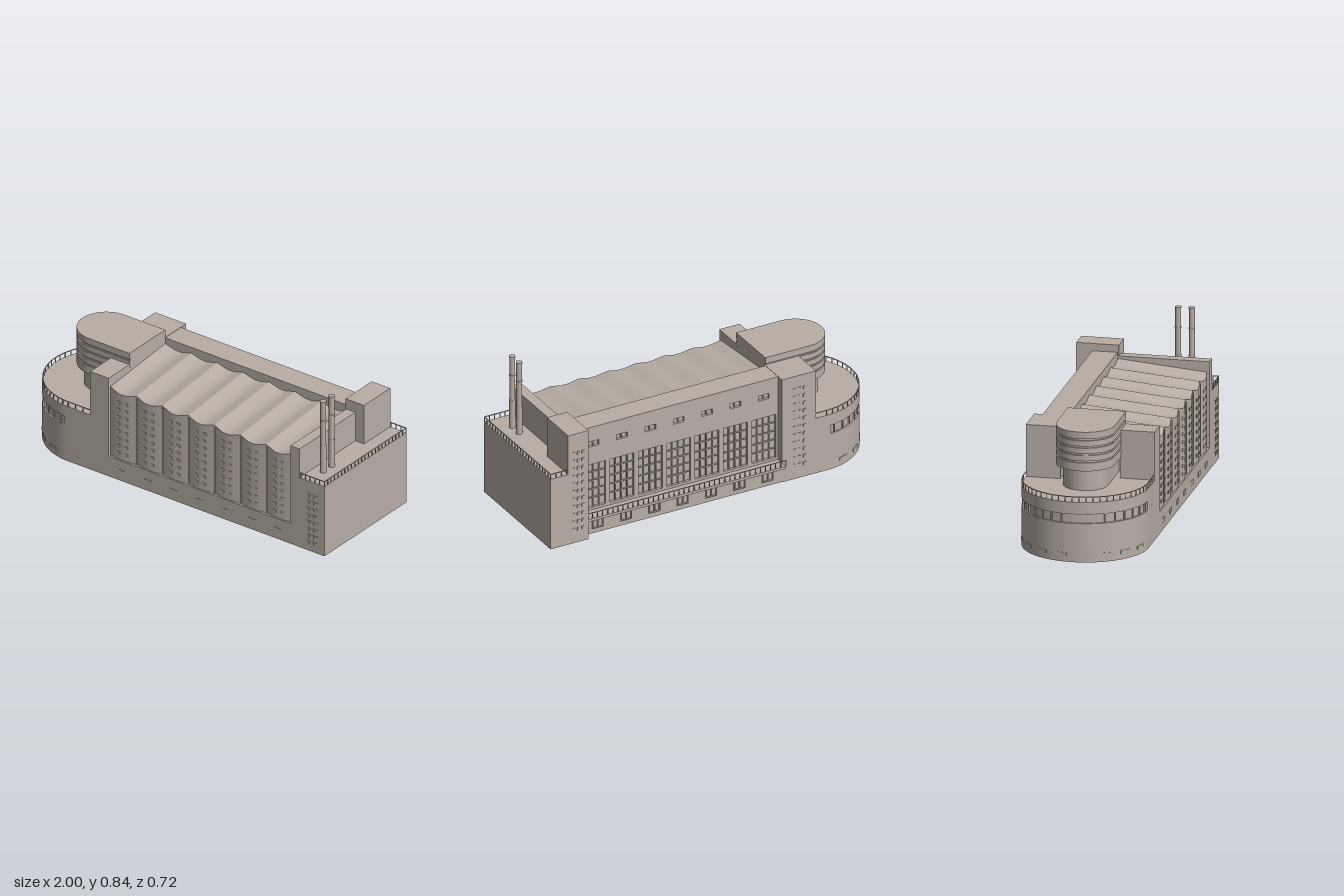
import * as THREE from 'three';
import { mergeGeometries, toCreasedNormals } from 'three/addons/utils/BufferGeometryUtils.js';

const X0 = -0.4, X1 = 0.78, BAYS = 7, BAY = (X1 - X0) / BAYS; // main hall span
const CX = -0.665, CZ = 0.02; // centre of the rounded end

// box geometry given by its limits
function slab(x0, x1, y0, y1, z0, z1) {
  return new THREE.BoxGeometry(x1 - x0, y1 - y0, z1 - z0)
    .translate((x0 + x1) / 2, (y0 + y1) / 2, (z0 + z1) / 2);
}

// block with a half-round end towards -x
function stadium(r, xEnd, y0, y1) {
  const s = new THREE.Shape();
  s.moveTo(xEnd, -r);
  s.lineTo(xEnd, r);
  s.lineTo(CX, r);
  s.absarc(CX, 0, r, Math.PI / 2, Math.PI * 1.5, false);
  s.lineTo(xEnd, -r);
  const g = new THREE.ExtrudeGeometry(s, { depth: y1 - y0, bevelEnabled: false, curveSegments: 40 });
  g.rotateX(-Math.PI / 2).translate(0, y0, CZ);
  return toCreasedNormals(g, 0.5);
}

// rail with posts along a list of points [x, z]
function railing(points, y0, y1, gap, t = 0.004) {
  const parts = [];
  for (let i = 0; i + 1 < points.length; i++) {
    const [ax, az] = points[i], [bx, bz] = points[i + 1];
    const len = Math.hypot(bx - ax, bz - az), n = Math.max(1, Math.round(len / gap));
    const angle = -Math.atan2(bz - az, bx - ax);
    parts.push(new THREE.BoxGeometry(len + t, t, t).rotateY(angle)
      .translate((ax + bx) / 2, y1 - t / 2, (az + bz) / 2));
    for (let k = 0; k <= n; k++) {
      const x = ax + (bx - ax) * k / n, z = az + (bz - az) * k / n;
      parts.push(slab(x - t / 2, x + t / 2, y0, y1 - t, z - t / 2, z + t / 2));
    }
  }
  return mergeGeometries(parts);
}

export function createModel() {
  const model = new THREE.Group();
  model.name = 'powerStation';
  const concrete = new THREE.MeshStandardMaterial({ color: 0xb8aea5 });
  concrete.name = 'concrete';
  const faceted = concrete;
  const add = (name, geometry) => {
    const m = new THREE.Mesh(geometry, faceted);
    m.name = name;
    model.add(m);
    return m;
  };
  const block = (name, ...limits) => add(name, slab(...limits));

  // rounded end with a recessed window band
  add('roundEndLower', stadium(0.334, X0, 0, 0.21));
  add('roundEndBand', stadium(0.324, X0, 0.21, 0.26));
  add('roundEndUpper', stadium(0.334, X0, 0.26, 0.325));
  block('bandInfill', -0.69, X0, 0.21, 0.26, CZ - 0.334, CZ + 0.334);
  const mullions = [], vents = [];
  for (let i = 0; i <= 16; i++) {
    const a = Math.PI * (0.55 + 0.9 * i / 16);
    mullions.push(new THREE.BoxGeometry(0.008, 0.05, 0.006).translate(0.327, 0.235, 0)
      .rotateY(a).translate(CX, 0, CZ));
    if (i % 2) vents.push(new THREE.BoxGeometry(0.006, 0.018, 0.06).translate(0.333, 0.04, 0)
      .rotateY(a).translate(CX, 0, CZ));
  }
  add('bandMullions', mergeGeometries(mullions));
  add('basementVents', mergeGeometries(vents));

  // terrace railing
  const curve = [[-0.52, CZ + 0.331]];
  for (let i = 0; i <= 28; i++) {
    const a = Math.PI * (0.5 + i / 28);
    curve.push([CX + 0.331 * Math.cos(a), CZ + 0.331 * Math.sin(a)]);
  }
  curve.push([-0.6, CZ - 0.331]);
  add('terraceRailing', railing(curve, 0.325, 0.355, 0.045));

  // rounded upper storey on its neck, with shallow rings
  add('upperNeck', stadium(0.118, X0, 0.325, 0.44));
  add('upperStorey', stadium(0.147, X0, 0.44, 0.652));
  [[0.44, 0.485], [0.495, 0.525], [0.535, 0.565], [0.575, 0.605], [0.615, 0.652]]
    .forEach(([a, b]) => add('upperRing', stadium(0.155, X0, a, b)));

  // pylons, towers and cross wall
  block('frontPylon', -0.52, X0, 0.32, 0.585, 0.17, 0.354);
  block('rearTowerRight', -0.6, X0, 0, 0.607, -0.314, -0.13);
  block('crossWall', X1, 0.838, 0, 0.585, -0.135, 0.354);
  block('rearTowerLeft', 0.775, 0.895, 0, 0.645, -0.355, -0.128);
  block('endBlock', 0.83, 1, 0, 0.415, -0.355, 0.355);

  // main hall: ribbed sloping roof and gently bowed front bays
  const hall = new THREE.BoxGeometry(X1 - X0, 1, 0.485, BAYS * 8, 1, 1);
  const p = hall.attributes.position;
  for (let i = 0; i < p.count; i++) {
    const x = p.getX(i) + (X1 - X0) / 2;
    const t = Math.abs(((x / BAY + 0.5) % 1) - 0.5) * 2; // 0 at a rib, 1 in mid bay
    const front = p.getZ(i) > 0;
    const rib = 0.018 * Math.max(0, 1 - t * 1.3);
    if (p.getY(i) > 0) p.setY(i, (front ? 0.51 : 0.553) + rib);
    else p.setY(i, 0.1);
    p.setZ(i, front ? 0.338 + 0.011 * Math.sin(t * Math.PI / 2) : -0.14);
    p.setX(i, x + X0);
  }
  hall.computeVertexNormals();
  add('hall', toCreasedNormals(hall, 0.3));
  block('hallPlinth', X0, X1, 0, 0.12, -0.27, 0.354);
  block('rearGallery', X0, X1, 0.1, 0.605, -0.255, -0.135);

  // front joints, small glazing and basement lights
  const glazing = [];
  for (let b = 0; b < BAYS; b++) {
    const x = X0 + BAY * (b + 0.5);
    for (let r = 0; r < 8; r++) for (const dx of [-0.025, 0.025]) {
      const y = 0.15 + r * 0.043;
      glazing.push(slab(x + dx - 0.009, x + dx + 0.009, y, y + 0.016, 0.345, 0.3505));
    }
    glazing.push(slab(x - 0.025, x + 0.025, 0.04, 0.065, 0.352, 0.356));
  }
  for (let r = 0; r < 8; r++) for (let c = 0; c < 3; c++)
    glazing.push(slab(0.885 + c * 0.028, 0.903 + c * 0.028, 0.04 + r * 0.04, 0.06 + r * 0.04, 0.352, 0.357));
  add('frontGlazing', mergeGeometries(glazing));
  for (let b = 1; b < BAYS; b++) {
    const x = X0 + BAY * b;
    block('frontJoint', x - 0.003, x + 0.003, 0.12, 0.515, 0.33, 0.344);
  }

  // rear facade with tall windows below and small windows above
  const wall = new THREE.Shape();
  wall.moveTo(X0, 0.1).lineTo(X1, 0.1).lineTo(X1, 0.605).lineTo(X0, 0.605).closePath();
  const hole = (x, w, y0, y1) => {
    const h = new THREE.Path();
    h.moveTo(x - w, y0).lineTo(x - w, y1).lineTo(x + w, y1).lineTo(x + w, y0).closePath();
    wall.holes.push(h);
  };
  const bars = [], lower = [];
  for (let b = 0; b < BAYS; b++) {
    const x = X0 + BAY * (b + 0.5);
    hole(x, 0.071, 0.13, 0.385);
    hole(x, 0.032, 0.49, 0.52);
    for (const dx of [-0.036, 0, 0.036])
      bars.push(slab(x + dx - 0.003, x + dx + 0.003, 0.13, 0.385, -0.263, -0.254));
    for (let r = 1; r < 5; r++)
      bars.push(slab(x - 0.071, x + 0.071, 0.128 + r * 0.051, 0.134 + r * 0.051, -0.262, -0.254));
    bars.push(slab(x - 0.003, x + 0.003, 0.49, 0.52, -0.262, -0.254));
    // ground floor window frames
    for (const dx of [-0.03, 0, 0.03])
      lower.push(slab(x + dx - 0.003, x + dx + 0.003, 0.03, 0.08, -0.316, -0.309));
    for (const y of [0.03, 0.08])
      lower.push(slab(x - 0.033, x + 0.033, y - 0.003, y + 0.003, -0.316, -0.309));
  }
  add('rearFacade', new THREE.ExtrudeGeometry(wall, { depth: 0.016, bevelEnabled: false })
    .translate(0, 0, -0.27));
  add('rearWindowBars', mergeGeometries(bars));
  block('rearGroundFloor', X0, X1, 0, 0.1, -0.31, -0.26);
  add('groundFloorWindows', mergeGeometries(lower));

  // small lights on the rear towers
  const lights = [];
  for (let r = 0; r < 11; r++) for (let c = 0; c < 3; c++) {
    const y = 0.07 + r * 0.045;
    lights.push(slab(0.8 + c * 0.028, 0.815 + c * 0.028, y, y + 0.018, -0.358, -0.35));
    lights.push(slab(-0.54 + c * 0.03, -0.524 + c * 0.03, y, y + 0.018, -0.317, -0.31));
  }
  add('towerLights', mergeGeometries(lights));

  // rear balcony
  block('balconySlab', X0, X1, 0.1, 0.115, -0.355, -0.26);
  add('balconyRailing', railing([[X0, -0.353], [X1, -0.353]], 0.115, 0.15, 0.03));

  // end block roof railing
  const edge = [[0.845, 0.353], [0.998, 0.353], [0.998, -0.353], [0.9, -0.353]];
  add('endRailing', railing(edge, 0.415, 0.445, 0.03));

  // twin chimneys with collars
  for (const z of [0.232, 0.159]) {
    const pipe = (name, r, y0, y1) => add(name,
      new THREE.CylinderGeometry(r, r, y1 - y0, 20).translate(0.9, (y0 + y1) / 2, z));
    pipe('chimney', 0.0155, 0.41, 0.835);
    pipe('chimneyBase', 0.0168, 0.41, 0.58);
    pipe('chimneyCollar', 0.0175, 0.722, 0.728);
    pipe('chimneyRim', 0.0172, 0.83, 0.837);
  }
  return model;
}
